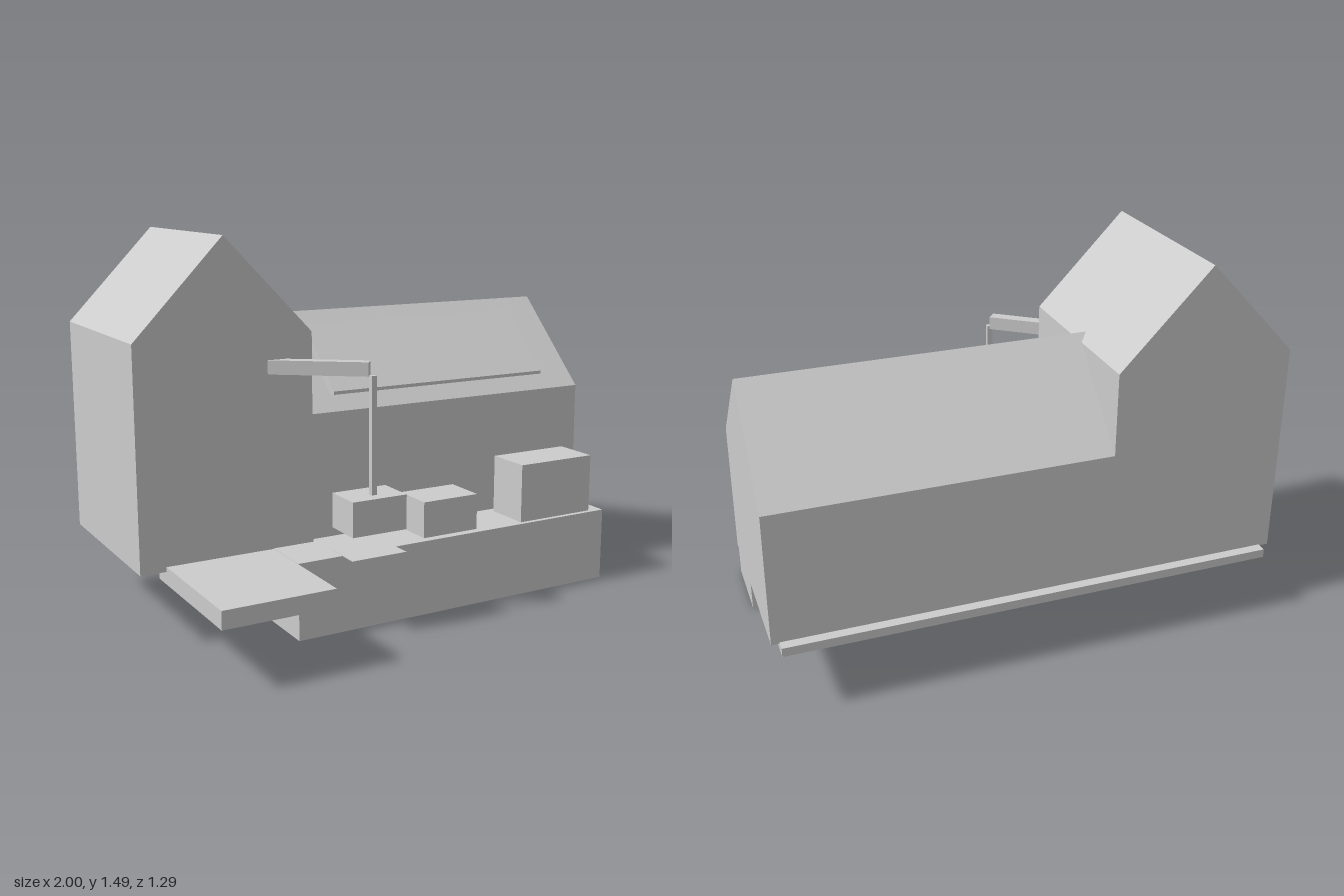
import * as THREE from 'three';

export function createModel() {
  const model = new THREE.Group();
  model.name = 'house';
  const grey = new THREE.MeshStandardMaterial({ color: 0xcccccc });
  grey.name = 'plainGrey';

  function add(name, geometry) {
    const mesh = new THREE.Mesh(geometry, grey);
    mesh.name = name;
    model.add(mesh);
    return mesh;
  }

  // Box given by its limits on each axis
  function block(name, x0, x1, y0, y1, z0, z1) {
    const g = new THREE.BoxGeometry(x1 - x0, y1 - y0, z1 - z0);
    g.translate((x0 + x1) / 2, (y0 + y1) / 2, (z0 + z1) / 2);
    return add(name, g);
  }

  // Straight prism from an outline
  function prism(points, depth) {
    const shape = new THREE.Shape(points.map(([a, b]) => new THREE.Vector2(a, b)));
    return new THREE.ExtrudeGeometry(shape, { depth, bevelEnabled: false });
  }

  // Prism along x from a (z, y) outline
  function prismX(name, points, x0, x1) {
    const g = prism(points.map(([z, y]) => [-z, y]), x1 - x0);
    g.rotateY(Math.PI / 2).translate(x0, 0, 0);
    return add(name, g);
  }

  // Tall gabled block, ridge running front to back
  const tower = prism([[-1, 0.28], [-0.3, 0.28], [-0.3, 1.12], [-0.65, 1.485], [-1, 1.12]], 0.745);
  add('tallGableBlock', tower.translate(0, 0, -0.605));

  // Long gabled wing, ridge running sideways into the tall block
  prismX('longWing',
    [[0.11, 0.28], [-0.605, 0.28], [-0.605, 0.797], [-0.25, 1.15], [0.11, 0.797]], -0.36, 1);

  // Roof panel with a level lower edge and an upright upper edge
  prismX('roofPanel',
    [[0.08, 0.87], [0.08, 0.857], [0.05, 0.857], [-0.165, 1.06], [-0.165, 1.105]], -0.175, 0.83);

  // Base parts
  block('frontTerrace', -0.47, 0.97, 0, 0.3, 0.06, 0.35);
  block('entrancePlatform', -0.9, -0.47, 0.23, 0.298, 0.06, 0.645);
  block('rearLedge', -0.96, 0.97, 0.25, 0.285, -0.645, -0.56);

  // Crates on the terrace
  block('smallCrate', 0.095, 0.345, 0.3, 0.445, 0.14, 0.315);
  block('largeCrate', 0.555, 0.91, 0.3, 0.54, 0.14, 0.33);

  // Hoist: slanting beam, rope, hanging load and the landing plate below
  const beam = prism(
    [[-0.49, -0.135], [-0.185, -0.367], [-0.155, -0.33], [-0.412, -0.135]], 0.053);
  add('hoistBeam', beam.rotateX(-Math.PI / 2).translate(0, 0.972, 0));
  block('hoistRope', -0.177, -0.155, 0.525, 0.975, 0.355, 0.377);
  block('hangingLoad', -0.285, -0.055, 0.39, 0.525, 0.27, 0.427);
  block('landingPlate', -0.285, -0.055, 0.298, 0.301, 0.27, 0.427);

  return model;
}
